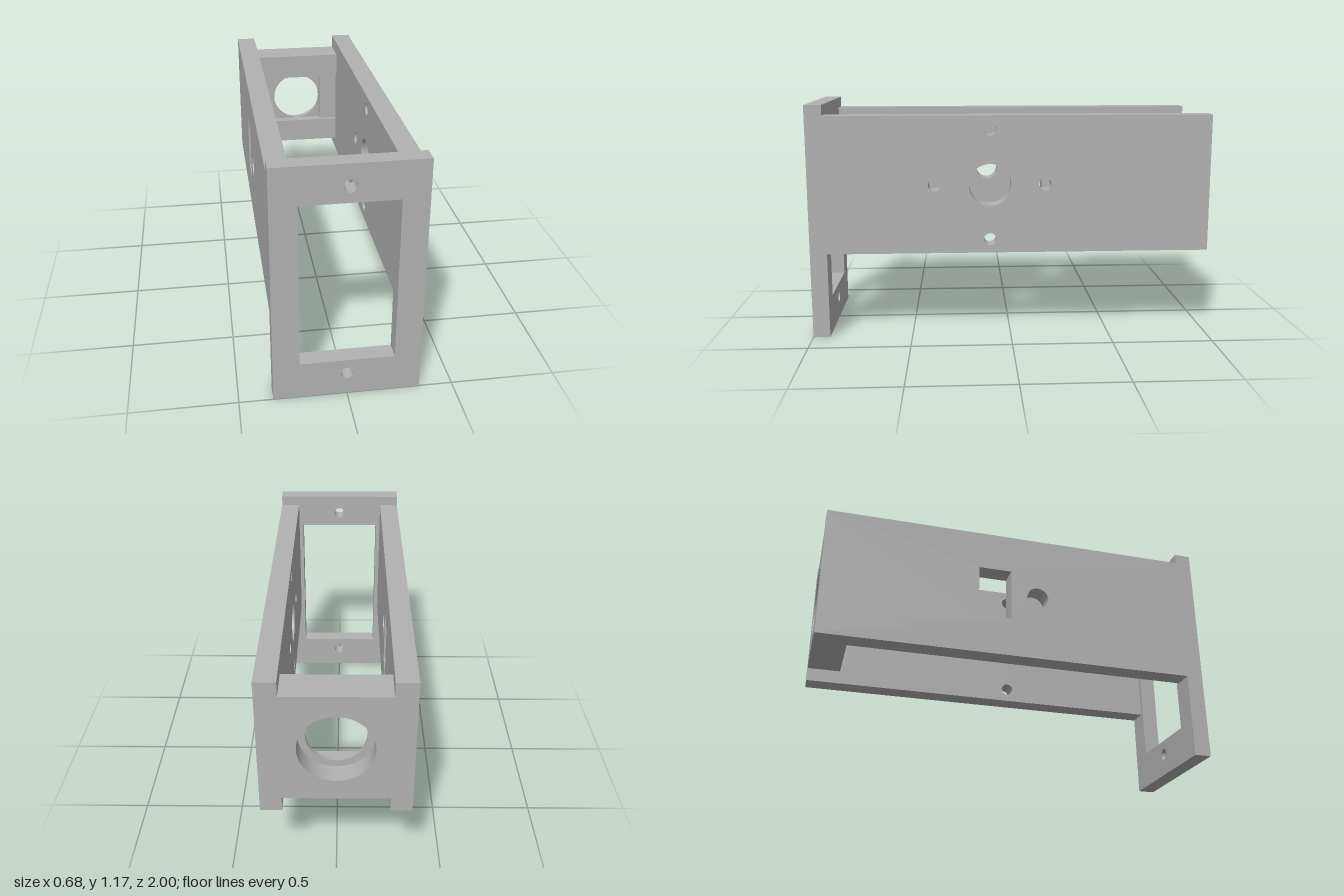
import * as THREE from 'three';
import { toCreasedNormals } from 'three/addons/utils/BufferGeometryUtils.js';

const CENTRE_Y = 0.773; // height of the shaft axis
const grey = new THREE.MeshStandardMaterial({ color: 0xb2b2b2 });
grey.name = 'plain grey';

// closed rectangle and circle outlines
function rect(x0, y0, x1, y1, Type = THREE.Path) {
  const p = new Type();
  p.moveTo(x0, y0);
  p.lineTo(x1, y0);
  p.lineTo(x1, y1);
  p.lineTo(x0, y1);
  p.closePath();
  return p;
}

function circle(x, y, r) {
  return new THREE.Path().absarc(x, y, r, 0, Math.PI * 2, true);
}

// rectangular plate with holes, extruded from z = 0
function plate(x0, y0, x1, y1, depth, holes = []) {
  const shape = rect(x0, y0, x1, y1, THREE.Shape);
  shape.holes.push(...holes);
  const geo = new THREE.ExtrudeGeometry(shape, { depth, bevelEnabled: false, curveSegments: 24 });
  return toCreasedNormals(geo, 0.5);
}

function part(name, geo) {
  const mesh = new THREE.Mesh(geo, grey);
  mesh.name = name;
  return mesh;
}

export function createModel() {
  const model = new THREE.Group();
  model.name = 'mountingBracket';

  // front mounting plate with window and two screw holes
  const front = plate(-0.342, 0, 0.342, 1.17, 0.085, [
    rect(-0.22, 0.185, 0.22, 0.99),
    circle(0, 1.067, 0.03),
    circle(0, 0.112, 0.03),
  ]);
  model.add(part('frontPlate', front.translate(0, 0, 0.915)));

  // side walls: drawn in (z, y), then turned so thickness runs along x
  const wall = (name, outerX, holes) => {
    const geo = plate(-1, 0.43, 0.915, 1.117, 0.1, holes);
    geo.rotateY(-Math.PI / 2).translate(outerX, 0, 0);
    model.add(part(name, geo));
  };
  const shaftZ = 0.103;
  const screws = [0, 1, 2, 3].map((i) => circle(
    shaftZ + 0.275 * Math.cos(i * Math.PI / 2),
    CENTRE_Y + 0.275 * Math.sin(i * Math.PI / 2), 0.031));
  wall('leftWall', 0.342, [circle(shaftZ, CENTRE_Y, 0.105), ...screws]);
  wall('rightWall', -0.242, [
    circle(shaftZ, CENTRE_Y, 0.057),
    rect(-0.21, CENTRE_Y - 0.137, -0.04, CENTRE_Y + 0.137),
  ]);

  // end block in layers: counterbore, bore, square pocket
  const block = new THREE.Group();
  block.name = 'endBlock';
  const half = 0.14;
  const layers = [
    ['counterbore', -1, -0.9, circle(0, CENTRE_Y, 0.172)],
    ['bore', -0.9, -0.88, circle(0, CENTRE_Y, 0.138)],
    ['squarePocket', -0.88, -0.85, rect(-half, CENTRE_Y - half, half, CENTRE_Y + half)],
  ];
  for (const [name, z0, z1, hole] of layers) {
    const geo = plate(-0.242, 0.5, 0.242, 1.046, z1 - z0, [hole]);
    block.add(part(name, geo.translate(0, 0, z0)));
  }

  // lips above and below the shallow cross channel
  for (const [name, y0, y1] of [
    ['lowerLip', 0.5, CENTRE_Y - half],
    ['upperLip', CENTRE_Y + half, 1.046],
  ]) {
    block.add(part(name, plate(-0.242, y0, 0.242, y1, 0.02).translate(0, 0, -0.85)));
  }
  model.add(block);

  return model;
}
